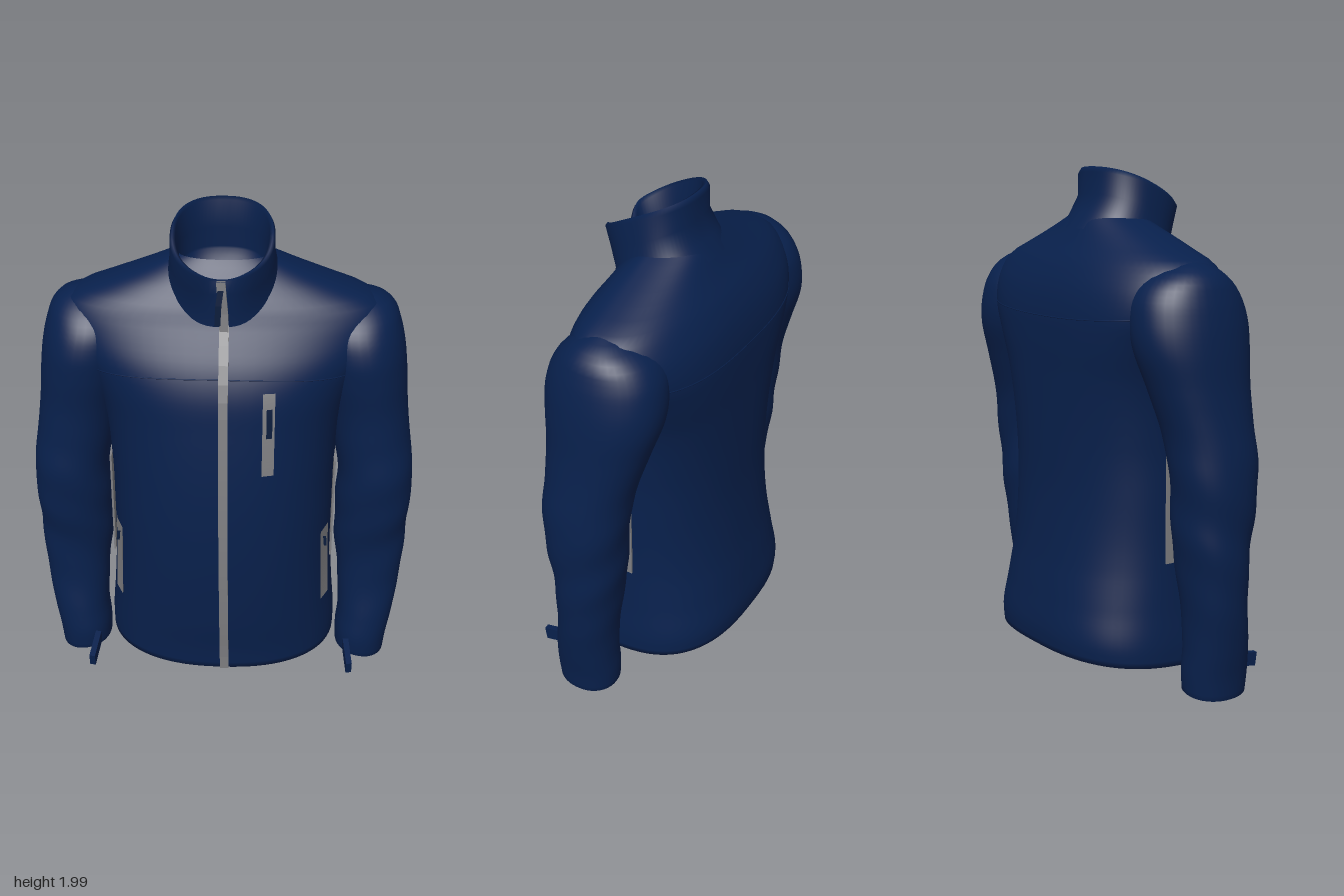
import * as THREE from 'three';

const mat = (name, color) => {
  const m = new THREE.MeshStandardMaterial({ color, side: THREE.DoubleSide });
  m.name = name;
  return m;
};

// smooth interpolation through rows of [y, ...values]
function profile(rows) {
  const size = rows[0].length - 1;
  const c = new THREE.CubicInterpolant(rows.map(r => r[0]), rows.flatMap(r => r.slice(1)), size, new Float32Array(size));
  return y => Array.from(c.evaluate(y));
}

// skin a list of closed rings, each a list of [x, y, z]
function loft(rings, flat = false) {
  const n = rings[0].length, idx = [];
  for (let r = 0; r < rings.length - 1; r++)
    for (let j = 0; j < n; j++) {
      const a = r * n + j, b = r * n + (j + 1) % n, c = a + n, d = b + n;
      idx.push(a, c, b, b, c, d);
    }
  let g = new THREE.BufferGeometry();
  g.setAttribute('position', new THREE.Float32BufferAttribute(rings.flat(2), 3));
  g.setIndex(idx);
  if (flat) g = g.toNonIndexed();
  g.computeVertexNormals();
  return g;
}

const spow = (v, e) => Math.sign(v) * Math.pow(Math.abs(v), e);
const range = (n, f) => Array.from({ length: n }, (_, i) => f(i));
const P = 2.3; // roundness of the torso front sections

// rings that close an opening with a hollow, from its rim to the middle
function hollow(ring, depth) {
  const mid = [0, 1, 2].map(k => ring.reduce((s, p) => s + p[k], 0) / ring.length);
  return [[0.97, 0.1], [0.93, 0.5], [0.8, 0.85], [0.5, 0.95], [0.001, 1]].map(([k, d]) =>
    ring.map(([x, y, z]) => [mid[0] + (x - mid[0]) * k, mid[1] + (y - mid[1]) * k + depth * d, mid[2] + (z - mid[2]) * k]));
}

// torso rows: y, half width, front depth, back depth, back roundness
const torso = profile([
  [0.06, 0.478, 0.33, 0.375, 2.7], [0.14, 0.478, 0.335, 0.38, 2.7], [0.3, 0.465, 0.355, 0.365, 2.5],
  [0.55, 0.45, 0.375, 0.335, 2.3], [0.75, 0.448, 0.38, 0.32, 2.3], [0.95, 0.45, 0.375, 0.318, 2.4],
  [1.2, 0.475, 0.355, 0.32, 2.8], [1.35, 0.525, 0.335, 0.322, 3.1], [1.45, 0.58, 0.3, 0.318, 3],
  [1.55, 0.612, 0.245, 0.297, 2.7], [1.61, 0.61, 0.21, 0.272, 2.4], [1.65, 0.57, 0.19, 0.25, 2.3],
  [1.69, 0.47, 0.165, 0.22, 2.3], [1.74, 0.34, 0.135, 0.185, 2.3], [1.78, 0.24, 0.1, 0.16, 2.3],
  [1.81, 0.17, 0.08, 0.14, 2.3]]);

// sleeve rows: y, inner x, outer x, front z, back z
const sleeve = profile([
  [0.02, 0.49, 0.70, 0.19, -0.065], [0.1, 0.488, 0.708, 0.195, -0.07], [0.2, 0.495, 0.725, 0.185, -0.07],
  [0.4, 0.485, 0.75, 0.16, -0.085], [0.58, 0.465, 0.76, 0.165, -0.11], [0.75, 0.462, 0.766, 0.19, -0.125],
  [0.9, 0.465, 0.768, 0.2, -0.14], [1.05, 0.44, 0.748, 0.195, -0.165], [1.2, 0.41, 0.73, 0.195, -0.21],
  [1.35, 0.37, 0.718, 0.208, -0.255], [1.45, 0.35, 0.704, 0.208, -0.258], [1.54, 0.34, 0.682, 0.18, -0.235],
  [1.6, 0.36, 0.655, 0.13, -0.185], [1.64, 0.4, 0.605, 0.07, -0.11], [1.665, 0.47, 0.52, 0.0, -0.03]]);

// depth of the torso surface at x, y
function surf(x, y, back = false) {
  const [w, f, b, pb] = torso(y), p = back ? pb : P;
  const k = Math.pow(Math.max(0, 1 - Math.pow(Math.abs(x / w), p)), 1 / p);
  return back ? -b * k : f * k;
}

function torsoGeometry() {
  const rings = range(71, i => {
    const y = 0.06 + 1.75 * i / 70, [w, f, b, pb] = torso(y);
    const fade = Math.max(0, 1 - (y - 0.06) / 0.4);
    return range(72, j => {
      const a = j / 72 * Math.PI * 2, e = 2 / (Math.sin(a) > 0 ? P : pb), s = spow(Math.sin(a), e);
      const z = s * (s > 0 ? f : b);
      return [w * spow(Math.cos(a), e), y + 0.06 * fade * (0.33 - z) / 0.71, z];
    });
  });
  return loft([...hollow(rings[0], 0.07).reverse(), ...rings]);
}

function sleeveGeometry() {
  const rings = range(81, i => {
    const y = 0.02 + 1.645 * i / 80, [x0, x1, zf, zb] = sleeve(y);
    const fold = Math.max(0, 1 - Math.abs(y - 0.65) / 0.5) * 0.02;
    return range(40, j => {
      const a = j / 40 * Math.PI * 2, c = spow(Math.cos(a), 0.93), s = spow(Math.sin(a), 0.93);
      const k = 1 + fold * Math.sin(y * 26 + a * 2);
      const tilt = Math.max(0, 1 - y / 0.3) * 0.014;
      return [(x0 + x1) / 2 + (x1 - x0) / 2 * c * k, y - c * tilt, (zf + zb) / 2 + (zf - zb) / 2 * s * k];
    });
  });
  return loft([...hollow(rings[0], 0.04).reverse(), ...rings]);
}

// tilted collar ring: half width, front and back points, dip and recess at the front
function collarRing(w, yf, zf, yb, zb, dip = 0, recess = 0) {
  return range(72, j => {
    const a = j / 72 * Math.PI * 2, s = spow(Math.sin(a), 0.85), t = (s + 1) / 2;
    const notch = Math.pow(Math.max(0, Math.sin(a)), 16);
    const bulge = 0.015 * (1 - s * s);
    return [w * spow(Math.cos(a), 0.85), yb + (yf - yb) * t - dip * notch + bulge, zb + (zf - zb) * t - recess * notch];
  });
}

// standing collar: outside, folded rim, then lining and neck hollow
function collarGeometry() {
  const rings = [
    collarRing(0.23, 1.6, 0.215, 1.76, -0.175),
    collarRing(0.208, 1.66, 0.215, 1.82, -0.135),
    collarRing(0.195, 1.74, 0.24, 1.89, -0.098, 0.005, 0.02),
    collarRing(0.193, 1.815, 0.265, 1.975, -0.1, 0.03, 0.045),
    collarRing(0.184, 1.825, 0.258, 1.995, -0.088, 0.035, 0.05),
    collarRing(0.172, 1.815, 0.24, 1.985, -0.072, 0.035, 0.05),
    collarRing(0.17, 1.74, 0.21, 1.88, -0.07, 0, 0.02),
    collarRing(0.165, 1.68, 0.185, 1.8, -0.075)];
  return loft([...rings, ...hollow(rings[rings.length - 1], -0.06)]);
}

// thin strip through points [x, y, z], width across x
function strip(points, w, t = 0.008) {
  return loft(points.map(([x, y, z]) => [[w, -t], [w, t], [-w, t], [-w, -t]].map(([dx, dz]) => [x + dx / 2, y, z + dz / 2])), true);
}

// thin strip that hugs the torso front; lean shifts the top across x
function torsoStrip(x, y0, y1, w, lift, lean = 0) {
  return loft(range(25, i => {
    const t = i / 24, y = y0 + (y1 - y0) * t, x0 = x + lean * t - w / 2, x1 = x0 + w;
    const a = surf(x0, y), b = surf(x1, y);
    return [[x1, y, b - 0.002], [x1, y, b + lift], [x0, y, a + lift], [x0, y, a - 0.002]];
  }), true);
}

// stitched line across the torso
function seam(y, half, back, bow) {
  const pts = range(31, i => {
    const x = -half + 2 * half * i / 30, yy = y + bow * (x / half) ** 2;
    return new THREE.Vector3(x, yy, surf(x, yy, back));
  });
  return new THREE.TubeGeometry(new THREE.CatmullRomCurve3(pts), 60, 0.0025, 5);
}

export function createModel() {
  const navy = mat('navy fabric', 0x08204c);
  const dark = mat('dark navy trim', 0x0a1c3c);
  const grey = mat('grey zip', 0x808083);
  const group = new THREE.Group();
  group.name = 'jacket';
  const add = (name, geo, m, parent = group) => {
    const mesh = new THREE.Mesh(geo, m);
    mesh.name = name;
    parent.add(mesh);
    return mesh;
  };

  add('torso', torsoGeometry(), navy);
  add('collar', collarGeometry(), navy);

  // front zip runs up the torso and onto the collar
  add('frontZip', torsoStrip(0.018, 0.06, 1.61, 0.036, 0.008, -0.006), grey);
  add('collarZip', strip([[0.012, 1.59, 0.226], [0.01, 1.66, 0.222], [0.004, 1.735, 0.227], [0, 1.79, 0.226]], 0.034, 0.012), grey);
  add('zipPull', strip([[-0.012, 1.62, 0.24], [-0.008, 1.7, 0.24], [0, 1.76, 0.235]], 0.022, 0.012), dark);

  // chest pocket
  add('chestPocketZip', torsoStrip(0.184, 1.045, 1.385, 0.046, 0.01), grey);
  add('chestPocketPull', torsoStrip(0.187, 1.21, 1.33, 0.022, 0.02), dark);

  // yoke seams
  add('frontYokeSeam', seam(1.43, 0.47, false, -0.03), navy);
  add('backYokeSeam', seam(1.43, 0.47, true, 0.02), navy);

  // paired parts, built on the left and mirrored
  for (const side of [1, -1]) {
    const half = new THREE.Group();
    half.name = side > 0 ? 'leftSide' : 'rightSide';
    half.scale.x = side;
    add('sleeve', sleeveGeometry(), navy, half);
    add('handPocketZip', torsoStrip(0.43, 0.33, 0.68, 0.03, 0.01, -0.012), grey, half);
    add('handPocketPull', strip([[0.424, 0.61, 0.193], [0.42, 0.65, 0.193]], 0.012, 0.01), dark, half);
    const panel = add('sidePanel', new THREE.BoxGeometry(0.008, 0.46, 0.17), grey, half);
    panel.position.set(0.45, 0.73, 0.025);
    const tab = add('cuffTab', new THREE.BoxGeometry(0.024, 0.055, 0.14), navy, half);
    tab.position.set(0.536, 0.075, 0.25);
    tab.rotation.set(0.15, 0.08, 0);
    group.add(half);
  }
  return group;
}
